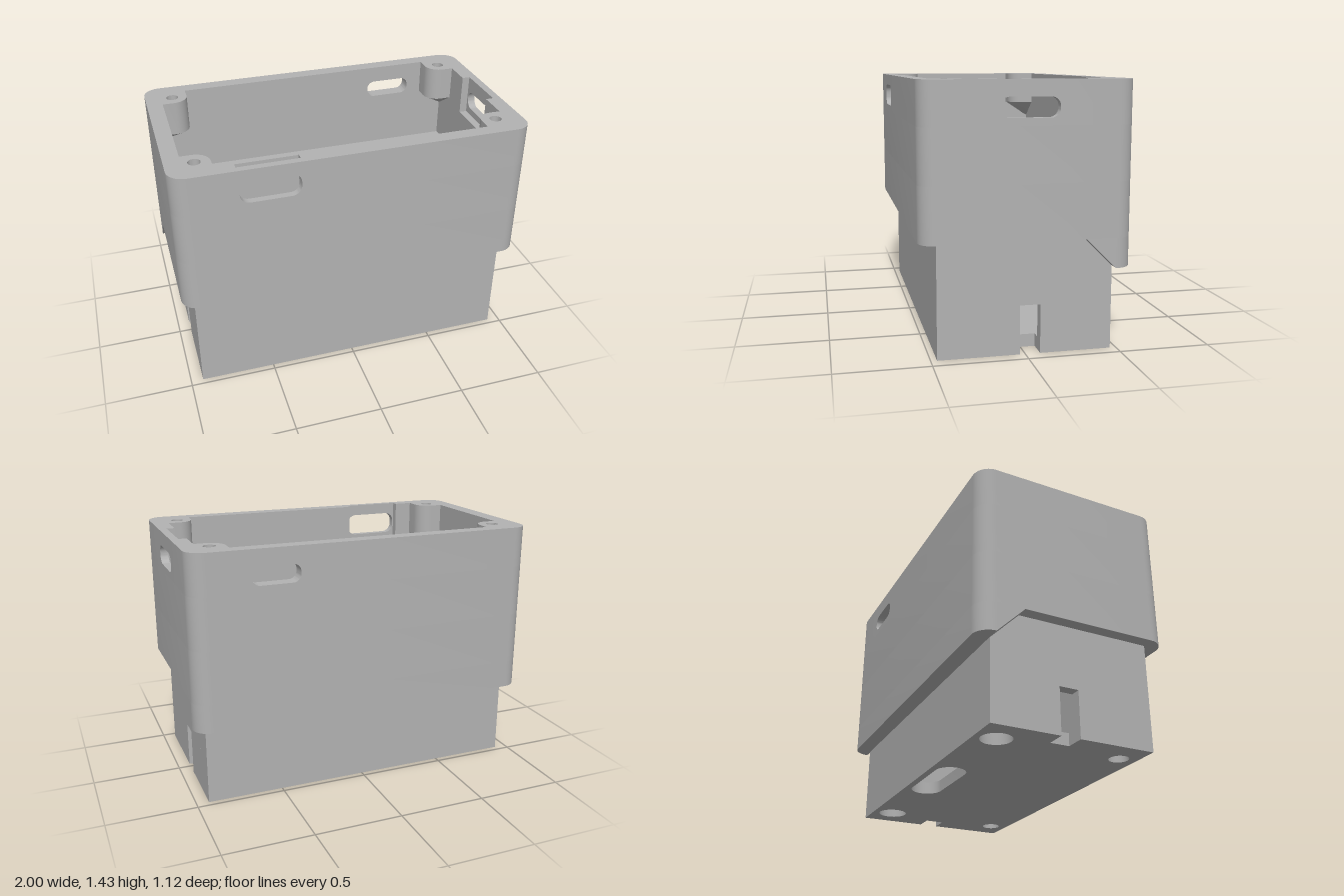
import * as THREE from 'three';
import { toCreasedNormals } from 'three/addons/utils/BufferGeometryUtils.js';

const R = 0.095; // outer vertical corner radius
const X = 1, Z = 0.56; // outer half sizes

const poly = (pts) => new THREE.Shape(pts.map(([a, b]) => new THREE.Vector2(a, b)));
const rect = (x0, z0, x1, z1) => poly([[x0, z0], [x1, z0], [x1, z1], [x0, z1]]);

// Points of a quarter arc around (cx, cz)
function arc(cx, cz, r, a0, a1, n = 10) {
  return Array.from({ length: n + 1 }, (_, i) => {
    const a = a0 + (a1 - a0) * i / n;
    return [cx + r * Math.cos(a), cz + r * Math.sin(a)];
  });
}

// Rectangle with rounded corners, also used for slots
function roundRect(x0, z0, x1, z1, r) {
  const h = Math.PI / 2;
  return poly([
    ...arc(x1 - r, z1 - r, r, 0, h), ...arc(x0 + r, z1 - r, r, h, 2 * h),
    ...arc(x0 + r, z0 + r, r, 2 * h, 3 * h), ...arc(x1 - r, z0 + r, r, 3 * h, 4 * h),
  ]);
}
const circle = (x, z, r) => poly(arc(x, z, r, 0, Math.PI * 2, 28).slice(0, -1));

export function createModel() {
  const model = new THREE.Group();
  const grey = new THREE.MeshStandardMaterial({ color: 0xb2b2b2 });
  grey.name = 'grey plastic';

  const add = (name, geo) => {
    const m = new THREE.Mesh(toCreasedNormals(geo, 0.6), grey);
    m.name = name;
    model.add(m);
  };
  const extrude = (shape, depth, holes = []) => {
    shape.holes.push(...holes);
    return new THREE.ExtrudeGeometry(shape, { depth, bevelEnabled: false });
  };
  // Plan shape (x, z) raised from y0 to y1
  const layer = (shape, y0, y1, holes) =>
    extrude(shape, y1 - y0, holes).rotateX(Math.PI / 2).translate(0, y1, 0);
  // Side shape (z, y) extruded from x0 to x1
  const sideways = (shape, x0, x1, holes) =>
    extrude(shape, x1 - x0, holes).rotateY(-Math.PI / 2).translate(x1, 0, 0);

  // Floor with side notches, corner holes and a long slot
  const floor = poly([
    [-0.93, -0.467], [0.93, -0.467], [0.93, -0.08], [0.82, -0.08], [0.82, 0.03], [0.93, 0.03],
    [0.93, 0.467], [-0.93, 0.467], [-0.93, 0.03], [-0.82, 0.03], [-0.82, -0.08], [-0.93, -0.08],
  ]);
  add('floor', layer(floor, 0, 0.07, [
    roundRect(-0.265, -0.43, 0.26, -0.255, 0.087),
    circle(-0.75, -0.345, 0.085), circle(0.75, -0.345, 0.085),
    circle(-0.765, 0.365, 0.055), circle(0.765, 0.365, 0.055),
  ]));

  // Lower walls, split by the side notches
  for (const [name, s, e] of [['lowerFrontWall', 1, 0.03], ['lowerBackWall', -1, -0.08]]) {
    add(name, layer(poly([
      [-0.93, e], [-0.87, e], [-0.87, 0.43 * s], [0.87, 0.43 * s], [0.87, e], [0.93, e],
      [0.93, 0.467 * s], [-0.93, 0.467 * s],
    ]), 0.07, 0.265));
  }
  const lowerHole = () => rect(-0.87, -0.43, 0.87, 0.43);
  add('lowerWallBand', layer(rect(-0.93, -0.467, 0.93, 0.467), 0.265, 0.615, [lowerHole()]));

  // Wide upper body: thick ledge band, then thinner band
  add('ledgeBand', layer(roundRect(-X, -Z, X, Z, R), 0.615, 0.91, [lowerHole()]));
  add('upperBand', layer(roundRect(-X, -Z, X, Z, R), 0.91, 1.2,
    [rect(-0.91, -0.48, 0.91, 0.48)]));

  // Rim corners: L shapes whose arms end at the windows
  const rim = [
    ['frontLeftRim', 1, 1, -0.315, 0.155], ['frontRightRim', -1, 1, -0.655, 0],
    ['backLeftRim', 1, -1, 0.68, -0.165], ['backRightRim', -1, -1, 0.39, 0],
  ];
  for (const [name, sx, sz, xe, ze] of rim) {
    const corner = arc(X - R, Z - R, R, Math.PI / 2, 0).map(([a, b]) => [a * sx, b * sz]);
    add(name, layer(poly([
      [xe, Z * sz], ...corner, [X * sx, ze], [0.91 * sx, ze], [0.91 * sx, 0.48 * sz], [xe, 0.48 * sz],
    ]), 1.2, 1.43));
  }

  // Window panels in the front, back and left walls
  add('frontWindow', extrude(rect(-0.655, 1.2, -0.315, 1.43), 0.04,
    [roundRect(-0.65, 1.235, -0.32, 1.365, 0.055)]).translate(0, 0, 0.52));
  add('backWindow', extrude(rect(0.39, 1.2, 0.68, 1.43), 0.08,
    [roundRect(0.4, 1.235, 0.67, 1.335, 0.045)]).translate(0, 0, -Z));
  add('sideWindow', sideways(rect(-0.165, 1.2, 0.155, 1.43), 0.955, X,
    [roundRect(-0.155, 1.24, 0.155, 1.345, 0.05)]));

  // Corner screw posts with tapered undersides
  for (const sx of [-1, 1]) for (const sz of [-1, 1]) {
    const outline = () => poly([
      [0.95, 0.325], ...arc(0.845, 0.41, 0.085, -Math.PI / 2, -Math.PI), [0.76, 0.52], [0.95, 0.52],
    ].map(([a, b]) => [a * sx, b * sz]));
    add('screwPost', layer(outline(), 1.23, 1.43, [circle(0.845 * sx, 0.405 * sz, 0.034)]));
    const taper = layer(outline(), 1.12, 1.23);
    const p = taper.attributes.position;
    for (let i = 0; i < p.count; i++) if (p.getY(i) < 1.17) {
      p.setX(i, THREE.MathUtils.lerp(p.getX(i), 0.94 * sx, 0.9));
      p.setZ(i, THREE.MathUtils.lerp(p.getZ(i), 0.51 * sz, 0.9));
    }
    add('screwPostTaper', taper);
  }

  // Small screw bosses at ledge height
  for (const [s, z] of [[-1, 0.175], [1, -0.18]]) {
    const x0 = s > 0 ? 0.78 : -0.89, x1 = s > 0 ? 0.89 : -0.78;
    add('sideBoss', layer(roundRect(x0, z - 0.07, x1, z + 0.07, 0.018), 0.73, 0.91,
      [circle(0.828 * s, z, 0.034)]));
    add('sideBossBase', layer(roundRect(x0, z - 0.07, x1, z + 0.07, 0.018), 0.7, 0.73));
  }

  // Rear skirt hanging below the upper body, with sloped side ends
  const back = arc(X - R, -Z + R, R, 0, -Math.PI / 2);
  add('rearSkirt', layer(poly([
    ...back, ...back.map(([a, b]) => [-a, b]).reverse(),
  ]), 0.455, 0.615));
  for (const [x0, x1] of [[-1, -0.93], [0.93, 1]]) {
    add('skirtWedge', sideways(poly([[-0.305, 0.615], [-0.465, 0.615], [-0.465, 0.455]]), x0, x1));
  }
  return model;
}
